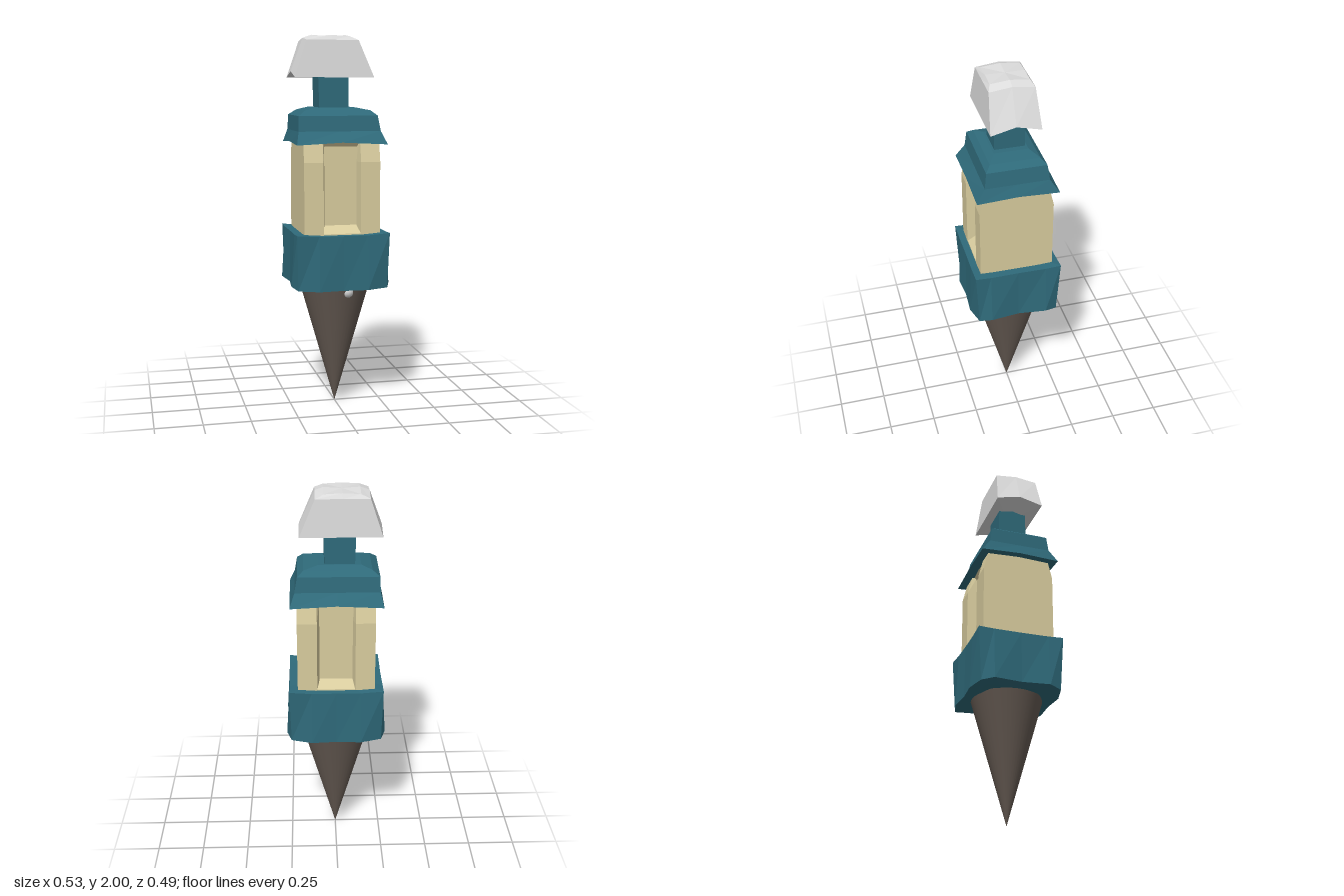
import * as THREE from 'three';

const mat = (name, color) => {
  const m = new THREE.MeshStandardMaterial({ color });
  m.name = name;
  return m;
};

// Closed faceted solid from stacked rings (bottom to top, counterclockwise seen from above)
function loft(rings) {
  const pos = [];
  const tri = (...p) => p.forEach((v) => pos.push(...v));
  const n = rings[0].length;
  const centre = (r) => [0, 1, 2].map((k) => r.reduce((s, p) => s + p[k], 0) / n);
  for (let i = 0; i < n; i++) {
    const j = (i + 1) % n;
    for (let k = 0; k < rings.length - 1; k++) {
      const [lo, hi] = [rings[k], rings[k + 1]];
      tri(lo[i], lo[j], hi[j]);
      tri(lo[i], hi[j], hi[i]);
    }
    const [bottom, top] = [rings[0], rings[rings.length - 1]];
    tri(centre(bottom), bottom[j], bottom[i]);
    tri(centre(top), top[i], top[j]);
  }
  const g = new THREE.BufferGeometry();
  g.setAttribute('position', new THREE.Float32BufferAttribute(pos, 3));
  g.computeVertexNormals();
  return g;
}

// Rectangular ring with edge midpoints; the side (x) and face (z) midpoints may be lifted
function rect(y, x0, x1, z, side = 0, face = 0) {
  const m = (x0 + x1) / 2;
  return [[x1, y, z], [x1, y + side, 0], [x1, y, -z], [m, y + face, -z],
    [x0, y, -z], [x0, y + side, 0], [x0, y, z], [m, y + face, z]];
}

// Four-fold mirrored ring with three extra points per edge
function waistRing(y, corner, sidePoint, sideMid, facePoint, faceMid) {
  const [cx, cz] = corner, [sx, sz] = sidePoint, [fx, fz] = facePoint;
  const [yc, ys, yf] = y;
  return [[cx, yc, cz], [sx, ys, sz], [sideMid, ys, 0], [sx, ys, -sz],
    [cx, yc, -cz], [fx, yf, -fz], [0, yf, -faceMid], [-fx, yf, -fz],
    [-cx, yc, -cz], [-sx, ys, -sz], [-sideMid, ys, 0], [-sx, ys, sz],
    [-cx, yc, cz], [-fx, yf, fz], [0, yf, faceMid], [fx, yf, fz]];
}

export function createModel() {
  const model = new THREE.Group();
  const teal = mat('teal', 0x2f6a7a);
  const cream = mat('cream', 0xd8cc9e);
  const white = mat('pale grey', 0xdcdcdc);
  const brown = mat('dark brown', 0x665b53);
  const add = (name, geometry, material, parent = model) => {
    const mesh = new THREE.Mesh(geometry, material);
    mesh.name = name;
    parent.add(mesh);
    return mesh;
  };

  // Pointed spike, smooth, tip down
  const spike = add('spike', new THREE.ConeGeometry(0.195, 0.685, 40), brown);
  spike.rotation.x = Math.PI;
  spike.position.y = 0.3425;

  // Small bead half sunk into the spike
  const bead = add('bead', new THREE.SphereGeometry(0.036, 16, 10), white);
  bead.position.set(0.035, 0.647, 0.153);

  // Wide lower block, flaring to a scalloped underside
  add('lowerBlock', loft([
    waistRing([0.675, 0.672, 0.664], [0.19, 0.17], [0.2, 0.1], 0.2, [0.1, 0.19], 0.19),
    waistRing([0.672, 0.685, 0.668], [0.24, 0.215], [0.265, 0.15], 0.248, [0.13, 0.243], 0.234),
    waistRing([0.967, 0.963, 0.958], [0.248, 0.232], [0.248, 0.15], 0.246, [0.13, 0.231], 0.23),
  ]), teal);

  // Cream body: core plus raised borders framing a recess on the front and back
  const body = new THREE.Group();
  body.name = 'body';
  model.add(body);
  add('bodyCore', loft([rect(0.95, -0.203, 0.203, 0.147), rect(1.45, -0.203, 0.203, 0.147)]), cream, body);
  const strip = (y, z) => [[0.203, y, z], [0.203, y, 0.14], [0.085, y, 0.14], [0.1, y, z]];
  const border = loft([strip(0.95, 0.195), strip(1.34, 0.195), strip(1.45, 0.168)]);
  const borderLeft = loft([strip(0.95, 0.195), strip(1.34, 0.195), strip(1.45, 0.168)].map(
    (ring) => ring.map(([x, y, z]) => [-x, y, z]).reverse()));
  const sillRing = (y, z) => [[0.1, y, z], [0.1, y, 0.14], [-0.1, y, 0.14], [-0.1, y, z]];
  const sill = loft([sillRing(0.95, 0.195), sillRing(0.965, 0.193), sillRing(1.005, 0.147)]);
  const lintel = loft([sillRing(1.42, 0.147), sillRing(1.45, 0.168)]);
  for (const [name, turn] of [['front', 0], ['back', Math.PI]]) {
    const frame = new THREE.Group();
    frame.name = name + 'Frame';
    frame.rotation.y = turn;
    body.add(frame);
    add(name + 'BorderA', border, cream, frame);
    add(name + 'BorderB', borderLeft, cream, frame);
    add(name + 'Sill', sill, cream, frame);
    add(name + 'Lintel', lintel, cream, frame);
  }

  // Stepped roof collar with flared eaves
  add('roof', loft([
    rect(1.432, -0.243, 0.238, 0.215, 0.01, 0.012),
    rect(1.5, -0.226, 0.212, 0.168),
    rect(1.58, -0.223, 0.198, 0.157),
    rect(1.607, -0.185, 0.165, 0.13),
    rect(1.622, -0.13, 0.09, 0.09),
  ]), teal);

  // Narrow neck
  add('neck', loft([rect(1.6, -0.098, 0.058, 0.08), rect(1.82, -0.105, 0.058, 0.077)]), teal);

  // Bevelled cap with an arched underside
  add('cap', loft([
    rect(1.778, -0.236, 0.185, 0.13, 0.032),
    rect(1.97, -0.172, 0.104, 0.116, 0.014),
    rect(1.99, -0.125, 0.06, 0.1, 0.01, 0.005),
  ]), white);

  return model;
}
